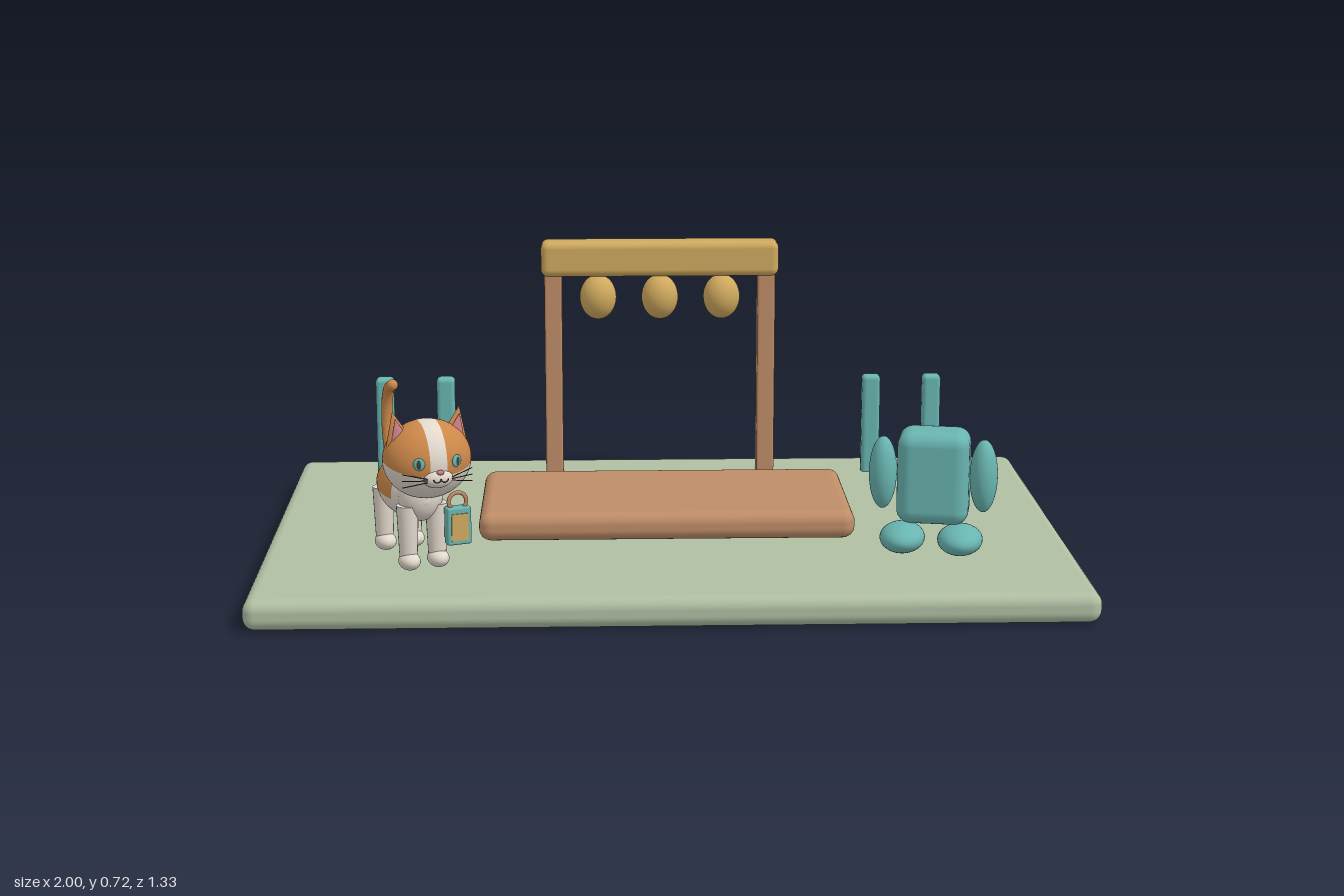
import * as THREE from 'three';
import { RoundedBoxGeometry } from 'three/addons/geometries/RoundedBoxGeometry.js';

const mat = (name, color) => new THREE.MeshStandardMaterial({ name, color });

export function createModel() {
  const sage = mat('sage', 0xb0bfa3), wood = mat('wood', 0xbf8d68), gold = mat('gold', 0xcfa95e);
  const teal = mat('teal', 0x69b5b1), orange = mat('orange fur', 0xcd8849), cream = mat('cream fur', 0xe2d8cc);
  const pink = mat('pink', 0xcc7f8c), dark = mat('dark', 0x45433c);
  const model = new THREE.Group();
  model.name = 'playground';

  const add = (parent, name, geo, material, x = 0, y = 0, z = 0) => {
    const m = new THREE.Mesh(geo, material);
    m.name = name;
    m.position.set(x, y, z);
    parent.add(m);
    return m;
  };
  const box = (w, h, d, r) => new RoundedBoxGeometry(w, h, d, 4, r);
  const ball = (rx, ry, rz) => new THREE.SphereGeometry(1, 32, 20).scale(rx, ry, rz);

  // Gives each triangle of a unit sphere material 0 or 1 by a rule, then scales it
  const patched = (geo, rule, rx, ry, rz) => {
    const g = geo.toNonIndexed(), p = g.attributes.position;
    for (let i = 0; i < p.count; i += 3) {
      const c = [0, 0, 0];
      for (let k = 0; k < 3; k++) {
        c[0] += p.getX(i + k) / 3;
        c[1] += p.getY(i + k) / 3;
        c[2] += p.getZ(i + k) / 3;
      }
      g.addGroup(i, 3, rule(...c) ? 1 : 0);
    }
    return g.scale(rx, ry, rz);
  };

  // Ground and platform
  add(model, 'ground', box(2, 0.075, 1.33, 0.03), sage, 0, 0.0375, 0);
  add(model, 'platform', box(0.935, 0.072, 0.455, 0.03), wood, -0.002, 0.12, -0.002);

  // Gate with hanging gourds
  const gate = new THREE.Group();
  gate.name = 'gate';
  model.add(gate);
  for (const s of [-1, 1]) add(gate, 'gatePost', box(0.048, 0.58, 0.058, 0.006), wood, s * 0.29, 0.355, -0.523);
  add(gate, 'gateBeam', box(0.645, 0.096, 0.083, 0.02), gold, 0, 0.672, -0.522);
  for (const x of [-0.168, 0, 0.168]) add(gate, 'hangingBall', ball(0.05, 0.061, 0.05), gold, x, 0.566, -0.51);

  // Back row of short posts
  for (const x of [-0.752, -0.586, 0.581, 0.747])
    add(model, 'shortPost', box(0.05, 0.28, 0.042, 0.012), teal, x, 0.206, -0.505);

  // Stubby teal figure
  const figure = new THREE.Group();
  figure.name = 'figure';
  figure.position.set(0.645, 0, 0.308);
  figure.rotation.y = -0.2;
  model.add(figure);
  add(figure, 'figureBody', box(0.175, 0.23, 0.127, 0.035), teal, 0, 0.272, 0);
  for (const s of [-1, 1]) {
    add(figure, 'figureArm', ball(0.034, 0.09, 0.04), teal, s * 0.122, 0.281, 0.027);
    add(figure, 'figureFoot', ball(0.055, 0.036, 0.078), teal, s * 0.07, 0.126, 0.05);
  }

  // Cat
  const cat = new THREE.Group();
  cat.name = 'cat';
  cat.position.set(-0.63, 0, 0.33);
  cat.rotation.y = 0.38;
  model.add(cat);
  const bodyGeo = new THREE.SphereGeometry(1, 40, 32).rotateX(Math.PI / 2);
  add(cat, 'catBody', patched(bodyGeo, (x, y, z) => z < 0.38 && y > -0.16, 0.066, 0.068, 0.145), [cream, orange], 0, 0.255, -0.01);
  add(cat, 'catChest', ball(0.055, 0.066, 0.05), cream, 0, 0.262, 0.085);
  for (const s of [-1, 1]) for (const z of [-0.095, 0.095]) {
    add(cat, 'catLeg', new THREE.CylinderGeometry(0.027, 0.021, 0.14, 20), cream, s * 0.036, 0.17, z);
    add(cat, 'catPaw', ball(0.026, 0.022, 0.033), cream, s * 0.036, 0.104, z + 0.007);
  }
  const tailPath = new THREE.CatmullRomCurve3([
    [0, 0.26, -0.12], [0, 0.295, -0.145], [0, 0.36, -0.166], [0, 0.43, -0.165], [0, 0.472, -0.145], [0, 0.486, -0.118],
  ].map((p) => new THREE.Vector3(...p)));
  add(cat, 'catTail', new THREE.TubeGeometry(tailPath, 40, 0.014, 14), orange);
  add(cat, 'tailTip', ball(0.014, 0.014, 0.014), orange, 0, 0.486, -0.118);

  // Head with a cream blaze and chin
  const head = new THREE.Group();
  head.name = 'catHead';
  head.position.set(0, 0.363, 0.142);
  cat.add(head);
  const headGeo = new THREE.SphereGeometry(1, 48, 32).rotateZ(Math.PI / 2);
  const isOrange = (x, y, z) => {
    const a = Math.atan2(y, z);
    return Math.abs(x) > 0.2 && (a > -0.26 || a < -2.6);
  };
  add(head, 'headShell', patched(headGeo, isOrange, 0.106, 0.095, 0.092), [cream, orange]);
  add(head, 'muzzle', ball(0.036, 0.023, 0.024), cream, 0, -0.03, 0.08);
  add(head, 'nose', ball(0.009, 0.006, 0.006), pink, 0, -0.012, 0.1);
  for (const s of [-1, 1]) {
    // Ears
    const ear = new THREE.Group();
    ear.name = 'ear';
    ear.position.set(s * 0.074, 0.078, 0);
    ear.rotation.z = -s * 0.2;
    head.add(ear);
    add(ear, 'earOuter', new THREE.ConeGeometry(0.036, 0.085, 20).scale(1, 1, 0.5), orange);
    add(ear, 'earInner', new THREE.ConeGeometry(0.025, 0.064, 20).scale(1, 1, 0.4), pink, 0, -0.005, 0.011);
    // Eyes
    const eye = new THREE.Group();
    eye.name = 'eye';
    eye.position.set(s * 0.046, 0.008, 0.083);
    eye.rotation.y = s * 0.45;
    head.add(eye);
    add(eye, 'iris', ball(0.014, 0.015, 0.005), teal);
    add(eye, 'pupil', ball(0.006, 0.011, 0.003), dark, 0, 0, 0.003);
    // Whiskers
    for (const k of [-1, 0, 1]) {
      const w = add(head, 'whisker', new THREE.CylinderGeometry(0.0012, 0.0012, 0.06, 6), dark, s * 0.058, -0.03 + k * 0.01, 0.086);
      w.rotation.set(0, s * 0.35, Math.PI / 2 + s * k * 0.2);
    }
    // Mouth corners
    const mouth = add(head, 'mouth', new THREE.TorusGeometry(0.009, 0.0014, 6, 16, Math.PI), dark, s * 0.009, -0.026, 0.104);
    mouth.rotation.z = Math.PI;
  }

  // Small lantern carried at the cat's side
  const lantern = new THREE.Group();
  lantern.name = 'lantern';
  lantern.position.set(0.075, 0.19, 0.138);
  cat.add(lantern);
  add(lantern, 'lanternCase', box(0.06, 0.092, 0.03, 0.005), teal);
  for (const s of [-1, 1]) add(lantern, 'lanternPane', new THREE.BoxGeometry(0.042, 0.066, 0.006), gold, 0, -0.002, s * 0.015);
  add(lantern, 'lanternHandle', new THREE.TorusGeometry(0.022, 0.005, 10, 28), wood, 0, 0.058, 0);

  return model;
}
